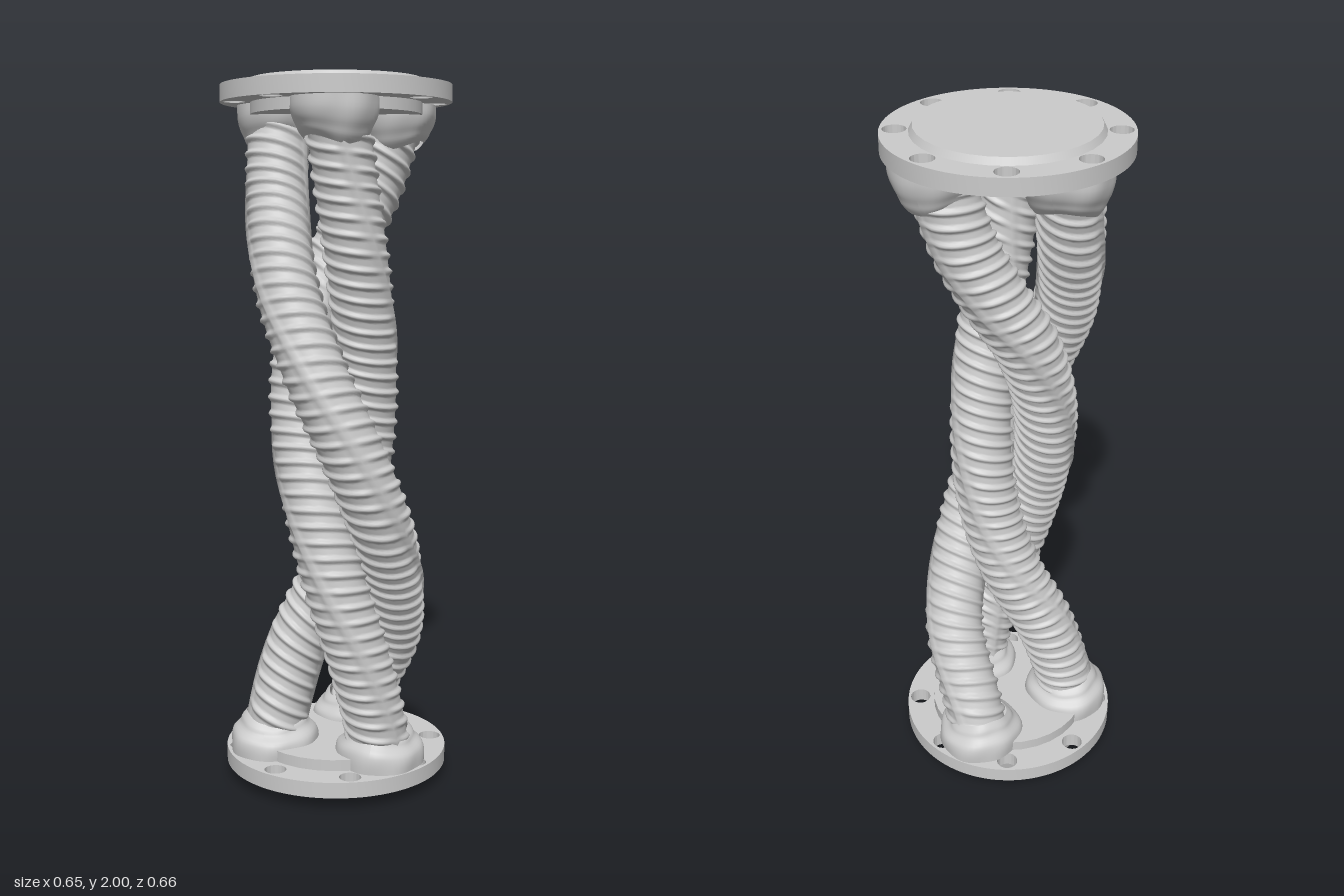
import * as THREE from 'three';
import { toCreasedNormals } from 'three/addons/utils/BufferGeometryUtils.js';

const material = new THREE.MeshStandardMaterial({ color: 0xcccccc, side: THREE.DoubleSide });
const CZ = -0.008;        // centre of the flanges in z
const BAR_R = 0.084;

// centre line of each twisted bar: [x, z] at the shared heights
const HEIGHTS = [1.92, 1.7, 1.55, 1.4, 1.2, 1.0, 0.8, 0.6, 0.4, 0.2, 0.09];
const BARS = [
  [[-0.18, -0.05], [-0.162, 0.03], [-0.13, 0.11], [-0.085, 0.175], [0.005, 0.23], [0.1, 0.225],
    [0.165, 0.165], [0.178, 0.04], [0.145, -0.09], [0.05, -0.175], [0.015, -0.195]],
  [[0.045, 0.175], [0.07, 0.15], [0.088, 0.13], [0.098, 0.095], [0.1, 0.04], [0.085, 0],
    [0.055, -0.01], [-0.01, 0], [-0.1, 0.04], [-0.15, 0.075], [-0.165, 0.08]],
  [[0.14, -0.14], [0.075, -0.12], [0.005, -0.085], [-0.06, -0.025], [-0.085, 0.05], [-0.065, 0.11],
    [-0.01, 0.165], [0.05, 0.185], [0.11, 0.165], [0.15, 0.125], [0.157, 0.1]],
];
const curves = BARS.map(pts => new THREE.CatmullRomCurve3(
  pts.map(([x, z], i) => new THREE.Vector3(x, HEIGHTS[i], z))));

function addMesh(parent, name, geometry, x = 0, y = 0, z = 0) {
  const mesh = new THREE.Mesh(geometry, material);
  mesh.name = name;
  mesh.position.set(x, y, z);
  parent.add(mesh);
  return mesh;
}

// smooth ridge: 1 at d = 0, falling to 0 at d = w
const ridge = (d, w) => (Math.abs(d) < w ? Math.cos((d / w) * Math.PI / 2) : 0);

// radius of a reinforcing bar: slanted crescent ribs on both halves, two long seams
function barRadius(s, theta) {
  const pitch = 0.046;
  const half = theta < Math.PI ? 0 : 1;
  const local = theta - half * Math.PI;
  const p = s + half * pitch / 2 + (local - Math.PI / 2) * 0.022;
  const d = p - Math.round(p / pitch) * pitch;
  const crescent = Math.min(1, Math.sin(local) * 2);
  const seam = Math.min(local, Math.PI - local);
  return BAR_R + Math.max(0.009 * ridge(d, 0.011) * crescent, 0.007 * ridge(seam, 0.16));
}

function ribbedBar(curve) {
  const rows = 400, cols = 40;
  const length = curve.getLength();
  const pos = [], index = [];
  for (let i = 0; i <= rows; i++) {
    const u = i / rows;
    const c = curve.getPointAt(u), t = curve.getTangentAt(u);
    // frame whose normal points away from the middle of the bundle
    const mid = new THREE.Vector3();
    curves.forEach(k => mid.addScaledVector(k.getPointAt(u), 1 / curves.length));
    const n = c.clone().sub(mid);
    n.addScaledVector(t, -n.dot(t)).normalize();
    const b = t.clone().cross(n);
    for (let j = 0; j < cols; j++) {
      const a = (j / cols) * Math.PI * 2;
      const r = barRadius(u * length, a);
      const p = c.clone().addScaledVector(n, r * Math.cos(a)).addScaledVector(b, r * Math.sin(a));
      pos.push(p.x, p.y, p.z);
      if (i < rows) {
        const k = i * cols + j, k2 = i * cols + (j + 1) % cols;
        index.push(k, k2, k + cols, k2, k2 + cols, k + cols);
      }
    }
  }
  const g = new THREE.BufferGeometry();
  g.setAttribute('position', new THREE.Float32BufferAttribute(pos, 3));
  g.setIndex(index);
  g.computeVertexNormals();
  return g;
}

// lumpy weld bead around the end of a bar, base at y = 0
function weldCollar(phase, baseR, height) {
  const profile = [[baseR, 0], [baseR, 0.3], [baseR * 0.95, 0.55], [0.102, 0.75], [0.094, 0.92], [0.08, 1.08]]
    .map(([r, h]) => new THREE.Vector2(r, h * height));
  const smooth = new THREE.SplineCurve(profile).getPoints(16);
  const g = new THREE.LatheGeometry(smooth, 48);
  const p = g.attributes.position;
  for (let i = 0; i < p.count; i++) {
    const a = Math.atan2(p.getZ(i), p.getX(i));
    const h = p.getY(i) / height;
    const k = 1 + 0.025 * Math.sin(3 * a + phase) + 0.015 * Math.sin(7 * a + phase * 2 + h * 3);
    p.setXYZ(i, p.getX(i) * k, p.getY(i) * (1 + 0.12 * Math.sin(2 * a + phase)), p.getZ(i) * k);
  }
  g.computeVertexNormals();
  return g;
}

// ring plate with eight bolt holes, base at y = 0
function flangePlate(depth) {
  const shape = new THREE.Shape().absarc(0, 0, 0.323, 0, Math.PI * 2, false);
  for (let i = 0; i < 8; i++) {
    const a = (i + 0.5) * Math.PI / 4;
    shape.holes.push(new THREE.Path().absarc(0.284 * Math.cos(a), 0.284 * Math.sin(a), 0.031, 0, Math.PI * 2, true));
  }
  const g = new THREE.ExtrudeGeometry(shape, { depth, bevelEnabled: false, curveSegments: 48 });
  g.rotateX(-Math.PI / 2);
  return toCreasedNormals(g, 0.5);
}

const disc = (rTop, rBottom, h) => new THREE.CylinderGeometry(rTop, rBottom, h, 32);

export function createModel() {
  const model = new THREE.Group();

  // bottom end
  const bottom = new THREE.Group();
  bottom.name = 'bottomFlange';
  addMesh(bottom, 'bottomPlate', flangePlate(0.045), 0, 0.035, CZ);
  addMesh(bottom, 'bottomFace', disc(0.25, 0.241, 0.035), 0, 0.0175, CZ);
  addMesh(bottom, 'bottomSeat', disc(0.24, 0.24, 0.032), 0, 0.096, CZ);

  // top end
  const top = new THREE.Group();
  top.name = 'topFlange';
  addMesh(top, 'topPlate', flangePlate(0.047), 0, 1.935, CZ);
  addMesh(top, 'topFace', disc(0.239, 0.249, 0.018), 0, 1.991, CZ);
  addMesh(top, 'topSeat', disc(0.24, 0.24, 0.032), 0, 1.919, CZ);
  model.add(bottom, top);

  // twisted bars with a weld at each end
  curves.forEach((curve, i) => {
    addMesh(model, `ribbedBar${i + 1}`, ribbedBar(curve));
    const foot = curve.getPoint(1), head = curve.getPoint(0);
    addMesh(model, `bottomWeld${i + 1}`, weldCollar(i * 2, 0.128, 0.095), foot.x, 0.08, foot.z);
    const upper = addMesh(model, `topWeld${i + 1}`, weldCollar(i * 2 + 1, 0.118, 0.105), head.x, 1.935, head.z);
    upper.rotation.x = Math.PI;
  });
  return model;
}
